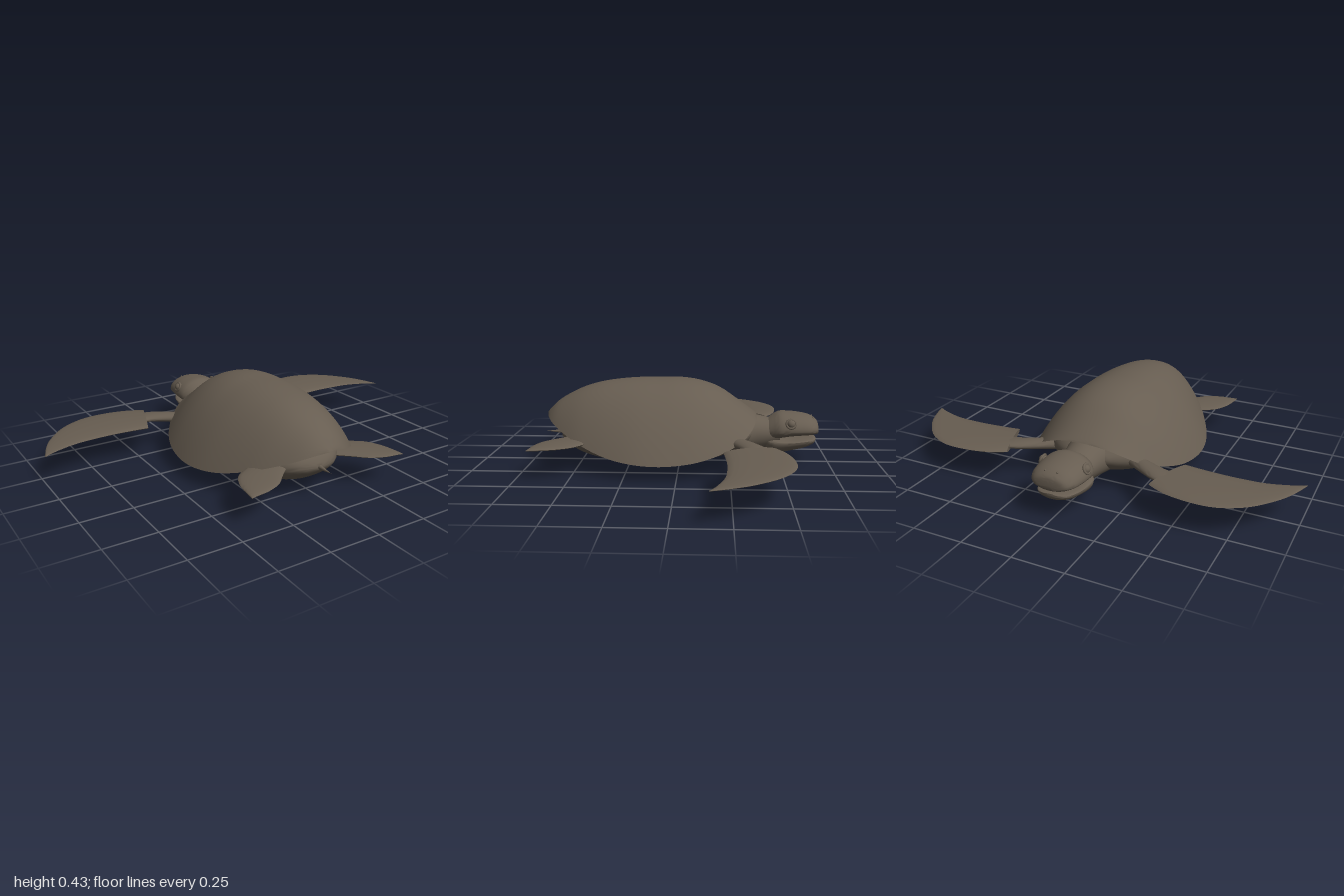
import * as THREE from 'three';
import { toCreasedNormals } from 'three/addons/utils/BufferGeometryUtils.js';

const skin = new THREE.MeshStandardMaterial({ color: 0x675d51, side: THREE.DoubleSide });
skin.name = 'olive brown';

// Smoothly resample a short table of cross-sections, column by column
function resample(rows, n) {
  const curves = rows[0].map((_, k) => new THREE.SplineCurve(rows.map((r, i) => new THREE.Vector2(i, r[k]))));
  return Array.from({ length: n + 1 }, (_, i) => curves.map(c => c.getPoint(i / n).y));
}

// Skin a list of equal-length point rings; closed rings also get end caps
function loft(rings, closed = true, crease = 0.8) {
  const m = rings[0].length, pos = rings.flat(2), idx = [];
  for (let i = 0; i < rings.length - 1; i++) {
    for (let j = 0; j < (closed ? m : m - 1); j++) {
      const a = i * m + j, b = i * m + (j + 1) % m;
      idx.push(a, b, a + m, b, b + m, a + m);
    }
  }
  if (closed) {
    [0, rings.length - 1].forEach(e => {
      const c = pos.length / 3;
      for (let k = 0; k < 3; k++) pos.push(rings[e].reduce((s, p) => s + p[k], 0) / m);
      for (let j = 0; j < m; j++) {
        const a = e * m + j, b = e * m + (j + 1) % m;
        if (e) idx.push(a, b, c); else idx.push(b, a, c);
      }
    });
  }
  const g = new THREE.BufferGeometry();
  g.setAttribute('position', new THREE.Float32BufferAttribute(pos, 3));
  g.setIndex(idx);
  g.computeVertexNormals();
  return toCreasedNormals(g, crease);
}

// Body-like form along z; rows are [z, halfWidth, top, widestHeight, bottom]
function trunk(rows, n = 28, sides = 36) {
  return loft(resample(rows, n).map(([z, w, top, mid, bottom]) =>
    Array.from({ length: sides }, (_, j) => {
      const a = j / sides * Math.PI * 2, s = Math.sin(a);
      return [w * Math.cos(a), mid + s * (s > 0 ? top - mid : mid - bottom), z];
    })));
}

// Flat limb; rows are [leadX, leadZ, trailX, trailZ, halfThickness, height]
function blade(rows, n = 20, sides = 20) {
  return loft(resample(rows, n).map(([lx, lz, tx, tz, h, y]) =>
    Array.from({ length: sides }, (_, j) => {
      const a = j / sides * Math.PI * 2, c = Math.cos(a);
      return [(lx + tx) / 2 + (lx - tx) / 2 * c, y + h * Math.sin(a), (lz + tz) / 2 + (lz - tz) / 2 * c];
    })), true, 1.0);
}

export function createModel() {
  const turtle = new THREE.Group();
  turtle.name = 'turtle';
  const add = (name, geo, parent = turtle) => {
    const mesh = new THREE.Mesh(geo, skin);
    mesh.name = name;
    parent.add(mesh);
    return mesh;
  };

  // Domed shell: rows are [z, halfWidth, ridgeHeight, rimHeight]
  const shellRows = [
    [-0.385, 0.03, 0.247, 0.246], [-0.377, 0.12, 0.255, 0.235], [-0.355, 0.2, 0.272, 0.205],
    [-0.3, 0.278, 0.312, 0.16], [-0.2, 0.35, 0.38, 0.12], [-0.1, 0.392, 0.416, 0.095],
    [0, 0.411, 0.43, 0.082], [0.1, 0.416, 0.43, 0.078], [0.2, 0.404, 0.428, 0.083],
    [0.3, 0.373, 0.42, 0.096], [0.4, 0.325, 0.404, 0.122], [0.5, 0.26, 0.372, 0.16],
    [0.6, 0.165, 0.319, 0.206], [0.65, 0.085, 0.273, 0.236], [0.672, 0.003, 0.25, 0.249],
  ];
  add('shell', loft(resample(shellRows, 56).map(([z, w, top, rim]) =>
    Array.from({ length: 41 }, (_, j) => {
      const v = Math.cos(j / 40 * Math.PI);
      return [w * v, rim + (top - rim) * (1 - Math.abs(v) ** 2.2), z];
    })), false));

  // Belly and neck
  add('belly', trunk([
    [-0.36, 0.1, 0.2, 0.165, 0.13], [-0.3, 0.2, 0.25, 0.16, 0.085], [-0.2, 0.28, 0.31, 0.16, 0.045],
    [-0.06, 0.32, 0.34, 0.16, 0.015], [0.08, 0.33, 0.35, 0.16, 0.003], [0.25, 0.31, 0.34, 0.16, 0.008],
    [0.4, 0.245, 0.3, 0.155, 0.03], [0.5, 0.18, 0.25, 0.15, 0.06], [0.575, 0.1, 0.2, 0.15, 0.11],
    [0.6, 0.025, 0.16, 0.15, 0.14],
  ]));
  add('neck', trunk([
    [-0.5, 0.088, 0.22, 0.155, 0.09], [-0.42, 0.095, 0.235, 0.155, 0.068],
    [-0.35, 0.108, 0.25, 0.155, 0.058], [-0.25, 0.15, 0.26, 0.15, 0.06],
  ], 14));

  // Head with a separate lower jaw
  const head = new THREE.Group();
  head.name = 'head';
  turtle.add(head);
  add('skull', trunk([
    [-0.693, 0.04, 0.2, 0.175, 0.156], [-0.685, 0.082, 0.222, 0.178, 0.152], [-0.65, 0.11, 0.245, 0.18, 0.148],
    [-0.6, 0.121, 0.257, 0.18, 0.145], [-0.55, 0.125, 0.262, 0.18, 0.14], [-0.5, 0.12, 0.262, 0.175, 0.13],
    [-0.465, 0.1, 0.243, 0.17, 0.12], [-0.44, 0.085, 0.225, 0.165, 0.12],
  ]), head);
  add('lowerJaw', trunk([
    [-0.683, 0.03, 0.134, 0.13, 0.118], [-0.668, 0.07, 0.136, 0.128, 0.1], [-0.62, 0.095, 0.135, 0.125, 0.08],
    [-0.55, 0.106, 0.132, 0.12, 0.064], [-0.48, 0.106, 0.14, 0.12, 0.047], [-0.445, 0.09, 0.14, 0.12, 0.054],
    [-0.43, 0.07, 0.14, 0.115, 0.075],
  ]), head);

  // Small tail
  const tail = add('tail', new THREE.ConeGeometry(0.016, 0.12, 16));
  tail.rotation.x = Math.PI / 2;
  tail.position.set(0, 0.148, 0.62);

  // Paired parts, built on the left and mirrored to the right
  const armGeo = blade([
    [0.12, -0.25, 0.1, -0.15, 0.028, 0.15], [0.24, -0.325, 0.25, -0.24, 0.026, 0.153],
    [0.355, -0.402, 0.385, -0.303, 0.02, 0.157], [0.46, -0.44, 0.49, -0.31, 0.01, 0.157],
  ]);
  const frontGeo = blade([
    [0.37, -0.46, 0.455, -0.215, 0.017, 0.157], [0.46, -0.504, 0.53, -0.223, 0.016, 0.157],
    [0.58, -0.525, 0.63, -0.229, 0.014, 0.157], [0.7, -0.515, 0.73, -0.228, 0.012, 0.156],
    [0.82, -0.45, 0.83, -0.219, 0.009, 0.155], [0.92, -0.335, 0.92, -0.192, 0.006, 0.154],
    [0.97, -0.24, 0.965, -0.173, 0.004, 0.153], [1.0, -0.155, 0.998, -0.155, 0.002, 0.152],
  ], 28);
  const hindGeo = blade([
    [0.22, 0.4, 0.1, 0.5, 0.016, 0.15], [0.305, 0.448, 0.19, 0.583, 0.015, 0.15],
    [0.36, 0.49, 0.25, 0.643, 0.012, 0.15], [0.396, 0.56, 0.32, 0.674, 0.009, 0.149],
    [0.41, 0.63, 0.38, 0.683, 0.006, 0.148], [0.416, 0.687, 0.414, 0.688, 0.002, 0.147],
  ]);
  for (const [side, sign] of [['left', 1], ['right', -1]]) {
    const half = new THREE.Group();
    half.name = side + 'Side';
    half.scale.x = sign;
    turtle.add(half);
    add(side + 'FrontArm', armGeo, half);
    add(side + 'FrontFlipper', frontGeo, half);
    add(side + 'HindFlipper', hindGeo, half);
    add(side + 'Eye', new THREE.SphereGeometry(0.021, 20, 14), half).position.set(0.108, 0.218, -0.55);
    const lid = add(side + 'Eyelid', new THREE.TorusGeometry(0.022, 0.006, 10, 24), half);
    lid.rotation.set(0, Math.PI / 2, 0);
    lid.rotateX(-0.4);
    lid.position.set(0.113, 0.219, -0.55);
    add(side + 'Nostril', new THREE.SphereGeometry(0.005, 10, 8), half).position.set(0.031, 0.235, -0.664);
  }
  return turtle;
}
